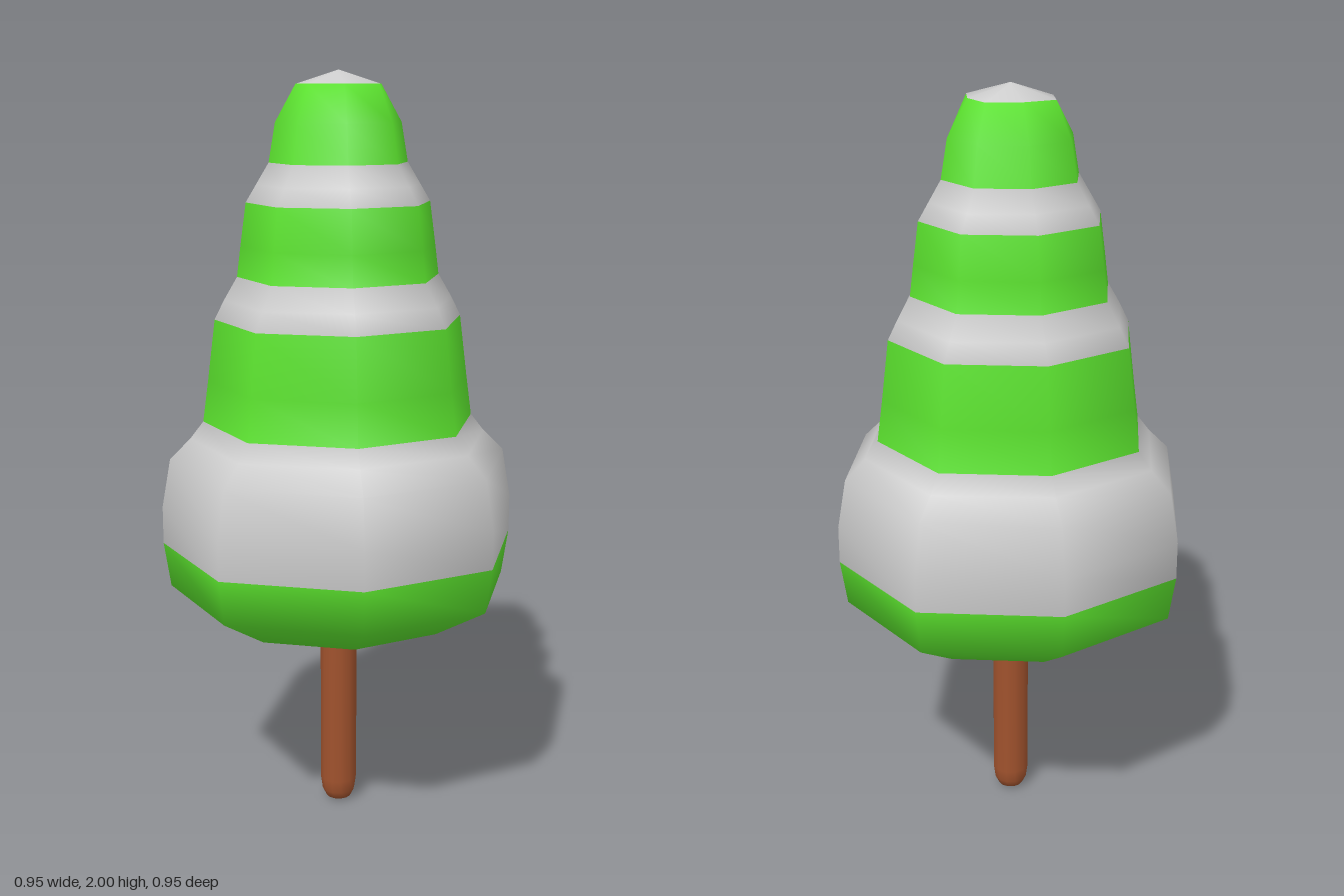
import * as THREE from 'three';

const SIDES = 8;
const grey = new THREE.MeshStandardMaterial({ color: 0xcccccc });
const green = new THREE.MeshStandardMaterial({ color: 0x5ae02d });
const brown = new THREE.MeshStandardMaterial({ color: 0xa0522d });

const toPoints = (pairs) => pairs.map(([r, y]) => new THREE.Vector2(r, y));

// Tree outline from underside to tip: [radius, height]
const profile = [
  [0, 0.53], [0.31, 0.56], [0.455, 0.65], [0.473, 0.77],
  [0.473, 0.87], [0.45, 1.0], [0.395, 1.055], [0.36, 1.1],
  [0.345, 1.21], [0.325, 1.37],
  [0.3, 1.42], [0.265, 1.48],
  [0.255, 1.56], [0.24, 1.67],
  [0.213, 1.715], [0.18, 1.77],
  [0.163, 1.87], [0.11, 1.965],
  [0, 2],
];

// Colour bands: [name, first profile point, last profile point, material]
const bands = [
  ['lowerFoliage', 0, 3, green],
  ['lowerSnow', 3, 7, grey],
  ['middleFoliage', 7, 9, green],
  ['middleSnow', 9, 11, grey],
  ['upperFoliage', 11, 13, green],
  ['upperSnow', 13, 15, grey],
  ['topFoliage', 15, 17, green],
  ['snowCap', 17, 18, grey],
];

// Eight-sided crown whose diagonal corners bulge slightly
function crownGeometry() {
  const geo = new THREE.LatheGeometry(toPoints(profile), SIDES);
  const pos = geo.attributes.position;
  for (let i = 0; i < pos.count; i++) {
    const column = Math.floor(i / profile.length);
    if (column % 2 === 0) continue;
    const bulge = pos.getY(i) > 1.95 ? 1.15 : 1.035;
    pos.setX(i, pos.getX(i) * bulge);
    pos.setZ(i, pos.getZ(i) * bulge);
  }
  return geo;
}

// Cut out one band, keeping the smooth normals of the whole crown
function bandGeometry(crown, first, last) {
  const geo = crown.clone();
  const index = crown.index.array;
  const kept = [];
  for (let i = 0; i < index.length; i += 3) {
    const tri = [index[i], index[i + 1], index[i + 2]];
    if (tri.every((v) => v % profile.length >= first && v % profile.length <= last)) kept.push(...tri);
  }
  geo.setIndex(kept);
  return geo;
}

export function createModel() {
  const model = new THREE.Group();
  model.name = 'snowyTree';

  const crown = crownGeometry();
  for (const [name, first, last, material] of bands) {
    const mesh = new THREE.Mesh(bandGeometry(crown, first, last), material);
    mesh.name = name;
    model.add(mesh);
  }

  // Thin stick trunk with a rounded foot
  const trunk = new THREE.Mesh(
    new THREE.LatheGeometry(toPoints([[0, 0], [0.034, 0.008], [0.045, 0.03], [0.05, 0.065], [0.05, 0.56]]), 12),
    brown,
  );
  trunk.name = 'trunk';
  model.add(trunk);

  return model;
}
